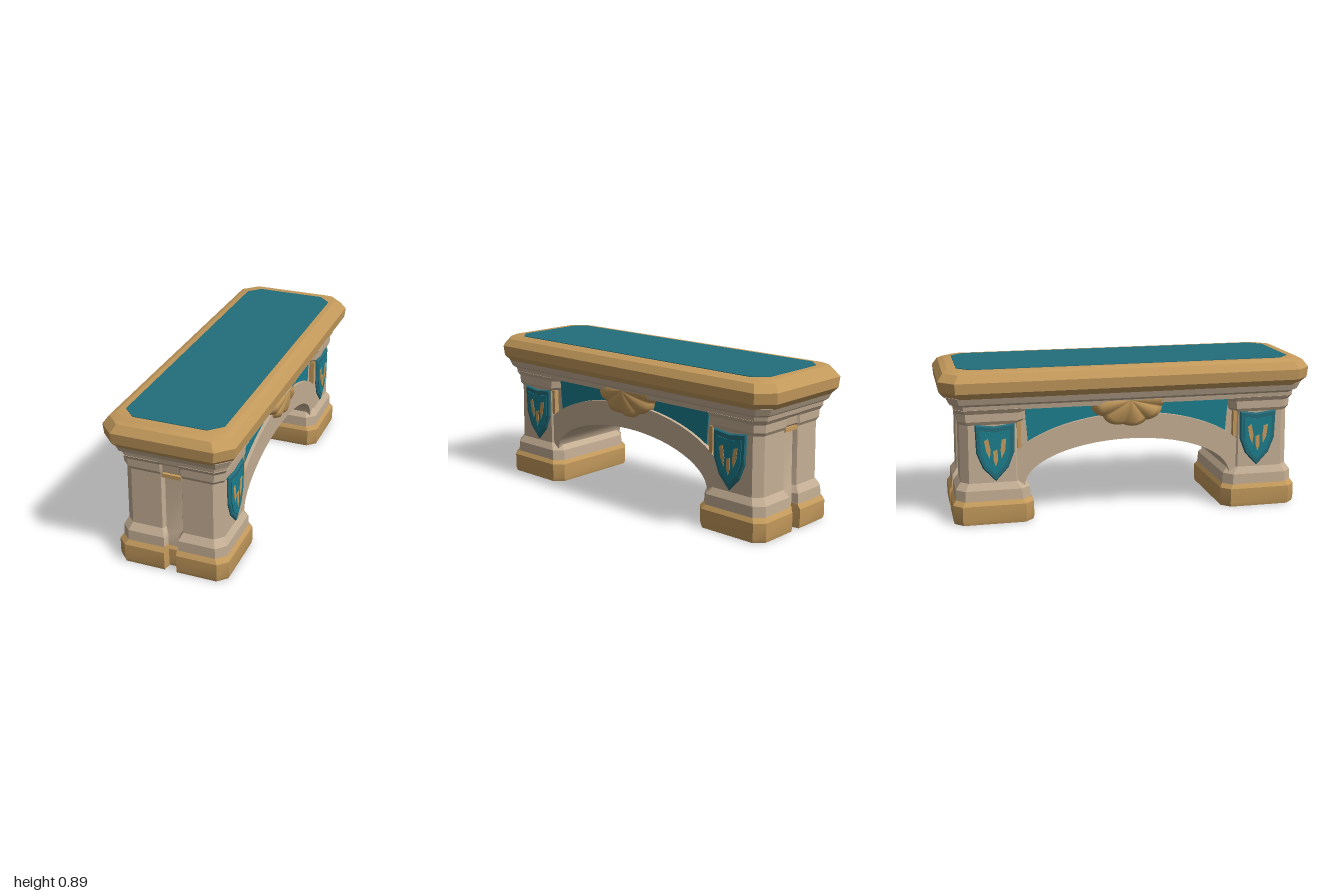
import * as THREE from 'three';
import { toCreasedNormals } from 'three/addons/utils/BufferGeometryUtils.js';

const material = (name, color) => {
  const m = new THREE.MeshStandardMaterial({ color });
  m.name = name;
  return m;
};

// Stack of outlines ([x, z] points, x turning towards z), closed at both ends
function loft(levels) {
  const pos = [];
  const put = (...points) => points.forEach((p) => pos.push(...p));
  const rings = levels.map(([y, outline]) => outline.map(([x, z]) => [x, y, z]));
  for (let i = 0; i < rings.length - 1; i++) {
    const low = rings[i], high = rings[i + 1], n = low.length;
    for (let j = 0; j < n; j++) {
      const k = (j + 1) % n;
      put(low[j], high[j], low[k], low[k], high[j], high[k]);
    }
  }
  const cap = (ring, up) => {
    const flat = ring.map(([x, , z]) => new THREE.Vector2(x, z));
    for (const [a, b, c] of THREE.ShapeUtils.triangulateShape(flat, [])) {
      const p = ring[a], q = ring[b], r = ring[c];
      const ny = (q[2] - p[2]) * (r[0] - p[0]) - (q[0] - p[0]) * (r[2] - p[2]);
      if (ny > 0 === up) put(p, q, r);
      else put(p, r, q);
    }
  };
  cap(rings[0], false);
  cap(rings[rings.length - 1], true);
  const g = new THREE.BufferGeometry();
  g.setAttribute('position', new THREE.Float32BufferAttribute(pos, 3));
  return toCreasedNormals(g, 0.45);
}

// Rectangle with cut corners
const slabOutline = (x0, x1, w, c) => [
  [x1, -w + c], [x1, w - c], [x1 - c, w], [x0 + c, w],
  [x0, w - c], [x0, -w + c], [x0 + c, -w], [x1 - c, -w],
];

// The same with a vertical groove in its outer end
const pierOutline = (x0, x1, w, c, g, d) => [
  [x1, -w + c], [x1, -g], [x1 - d, -g * 0.8], [x1 - d, g * 0.8], [x1, g],
  ...slabOutline(x0, x1, w, c).slice(1),
];

const extrude = (points, depth, bevel = 0) =>
  new THREE.ExtrudeGeometry(new THREE.Shape(points), {
    depth, bevelEnabled: bevel > 0, bevelSize: bevel, bevelThickness: bevel, bevelSegments: 1,
  });

// Elliptic arc of points, from angle a to angle b
const arc = (rx, ry, cy, a, b, n = 28) =>
  Array.from({ length: n + 1 }, (_, i) => {
    const t = a + ((b - a) * i) / n;
    return new THREE.Vector2(rx * Math.cos(t), cy + ry * Math.sin(t));
  });
const pts = (...list) => list.map(([x, y]) => new THREE.Vector2(x, y));

export function createModel() {
  const gold = material('gold', 0xc49a5c);
  const stone = material('stone', 0xc4ae94);
  const teal = material('teal cushion', 0x236d7b);
  const bright = material('bright teal', 0x1b7e8e);

  const model = new THREE.Group();
  const bench = new THREE.Group();
  bench.name = 'bench';
  bench.rotation.y = THREE.MathUtils.degToRad(47.5);
  model.add(bench);

  const add = (parent, name, geometry, mat, x = 0, y = 0, z = 0) => {
    const mesh = new THREE.Mesh(geometry, mat);
    mesh.name = name;
    mesh.position.set(x, y, z);
    parent.add(mesh);
    return mesh;
  };
  const centred = (l, w, c) => slabOutline(-l, l, w, c);

  // Seat slab with inlaid top
  add(bench, 'seatSlab', loft([
    [0.73, centred(1.045, 0.335, 0.08)],
    [0.765, centred(1.075, 0.365, 0.085)],
    [0.825, centred(1.08, 0.37, 0.085)],
    [0.868, centred(1.05, 0.34, 0.08)],
    [0.883, centred(1.02, 0.31, 0.08)],
  ]), gold);
  add(bench, 'seatInlay', loft([
    [0.88, centred(0.972, 0.276, 0.07)],
    [0.886, centred(0.972, 0.276, 0.07)],
  ]), teal);

  // Stepped cornice under the seat
  add(bench, 'cornice', loft([
    [0.655, centred(0.995, 0.3, 0.05)],
    [0.682, centred(1.0, 0.305, 0.05)],
    [0.695, centred(1.02, 0.32, 0.05)],
    [0.735, centred(1.04, 0.335, 0.06)],
  ]), stone);

  // Arch wall and its raised band
  const opening = arc(0.61, 0.245, 0.2, Math.PI, 0);
  const wall = extrude([
    ...pts([0.8, 0.12], [0.8, 0.67], [-0.8, 0.67], [-0.8, 0.12], [-0.61, 0.12]),
    ...opening, ...pts([0.61, 0.12]),
  ], 0.49);
  add(bench, 'archWall', toCreasedNormals(wall, 0.5), stone, 0, 0, -0.245);
  const band = extrude([
    ...arc(0.76, 0.38, 0.215, 0, Math.PI), ...opening,
  ], 0.54);
  add(bench, 'archBand', toCreasedNormals(band, 0.5), stone, 0, 0, -0.27);

  // Pier, plinth and end trim, one at each end
  for (const turn of [0, Math.PI]) {
    const end = new THREE.Group();
    end.name = turn ? 'leftPier' : 'rightPier';
    end.rotation.y = turn;
    bench.add(end);
    add(end, 'plinth', loft([
      [0, pierOutline(0.565, 1.015, 0.315, 0.05, 0.035, 0.05)],
      [0.02, pierOutline(0.56, 1.02, 0.32, 0.05, 0.035, 0.05)],
      [0.11, pierOutline(0.56, 1.02, 0.32, 0.05, 0.035, 0.05)],
      [0.14, pierOutline(0.58, 1.0, 0.3, 0.05, 0.035, 0.05)],
    ]), gold);
    add(end, 'shaft', loft([
      [0.13, pierOutline(0.575, 1.003, 0.304, 0.05, 0.04, 0.04)],
      [0.195, pierOutline(0.58, 1.0, 0.302, 0.05, 0.04, 0.04)],
      [0.235, pierOutline(0.615, 0.972, 0.28, 0.045, 0.06, 0.025)],
      [0.57, pierOutline(0.615, 0.968, 0.277, 0.045, 0.06, 0.025)],
      [0.59, pierOutline(0.6, 0.98, 0.288, 0.045, 0.06, 0.012)],
      [0.635, pierOutline(0.595, 0.982, 0.29, 0.045, 0.06, 0.008)],
      [0.66, pierOutline(0.58, 1.0, 0.305, 0.05, 0.06, 0.005)],
    ]), stone);
    add(end, 'endTrim', new THREE.BoxGeometry(0.03, 0.022, 0.11), gold, 0.954, 0.565, 0);
  }

  // Scalloped shell fan
  const shell = new THREE.PlaneGeometry(1, 1, 72, 8);
  const p = shell.attributes.position;
  for (let i = 0; i < p.count; i++) {
    const a = Math.PI * (1.5 + p.getX(i));
    const r = 0.5 - p.getY(i);
    const rib = Math.abs(Math.sin((a - Math.PI) * 4.5));
    const reach = r * (0.94 + 0.06 * rib);
    p.setXYZ(i, 0.235 * reach * Math.cos(a), 0.68 + 0.175 * reach * Math.sin(a),
      r > 0.99 ? 0.235 : 0.275 + 0.045 * (1 - r * r) + 0.016 * r * rib);
  }
  shell.computeVertexNormals();

  // Shield outline, scaled about its middle
  const shieldPoints = (s) => pts(
    [-0.11, 0.165], [0, 0.15], [0.11, 0.165], [0.105, 0], [0.07, -0.09],
    [0, -0.165], [-0.07, -0.09], [-0.105, 0],
  ).map((v) => v.multiplyScalar(s)).reverse();
  const leaf = (h) => pts([0, -h], [0.014, -h * 0.2], [0.011, h], [-0.014, h * 0.8], [-0.012, -h * 0.2]);

  // Painted and carved details on both long faces
  for (const turn of [0, Math.PI]) {
    const face = new THREE.Group();
    face.name = turn ? 'backFace' : 'frontFace';
    face.rotation.y = turn;
    bench.add(face);
    add(face, 'shell', shell, gold);
    const lower = arc(0.76, 0.38, 0.215, Math.PI * 0.78, Math.PI * 0.22);
    const panel = extrude([...lower, ...pts([0.6, 0.66], [-0.6, 0.66])], 0.008);
    add(face, 'spandrelPanel', panel, bright, 0, 0, 0.243);
    for (const side of [-1, 1]) {
      const shield = new THREE.Group();
      shield.name = side < 0 ? 'leftShield' : 'rightShield';
      shield.position.set(side * 0.775, 0.41, 0.27);
      face.add(shield);
      add(shield, 'shieldRim', extrude(shieldPoints(0.95), 0.014, 0.007), teal);
      add(shield, 'shieldField', extrude(shieldPoints(0.78), 0.005), bright, 0, 0, 0.02);
      for (const k of [-1, 0, 1]) {
        const mark = add(shield, 'shieldMark', extrude(leaf(k ? 0.06 : 0.05), 0.005), gold,
          k * 0.042, k ? 0.025 : -0.03, 0.023);
        mark.rotation.z = -k * 0.15;
      }
      // Narrow gilded edge beside the shield
      add(face, 'edgeTrim', new THREE.BoxGeometry(0.022, 0.15, 0.03), gold, side * 0.638, 0.5, 0.262);
    }
  }
  return model;
}
